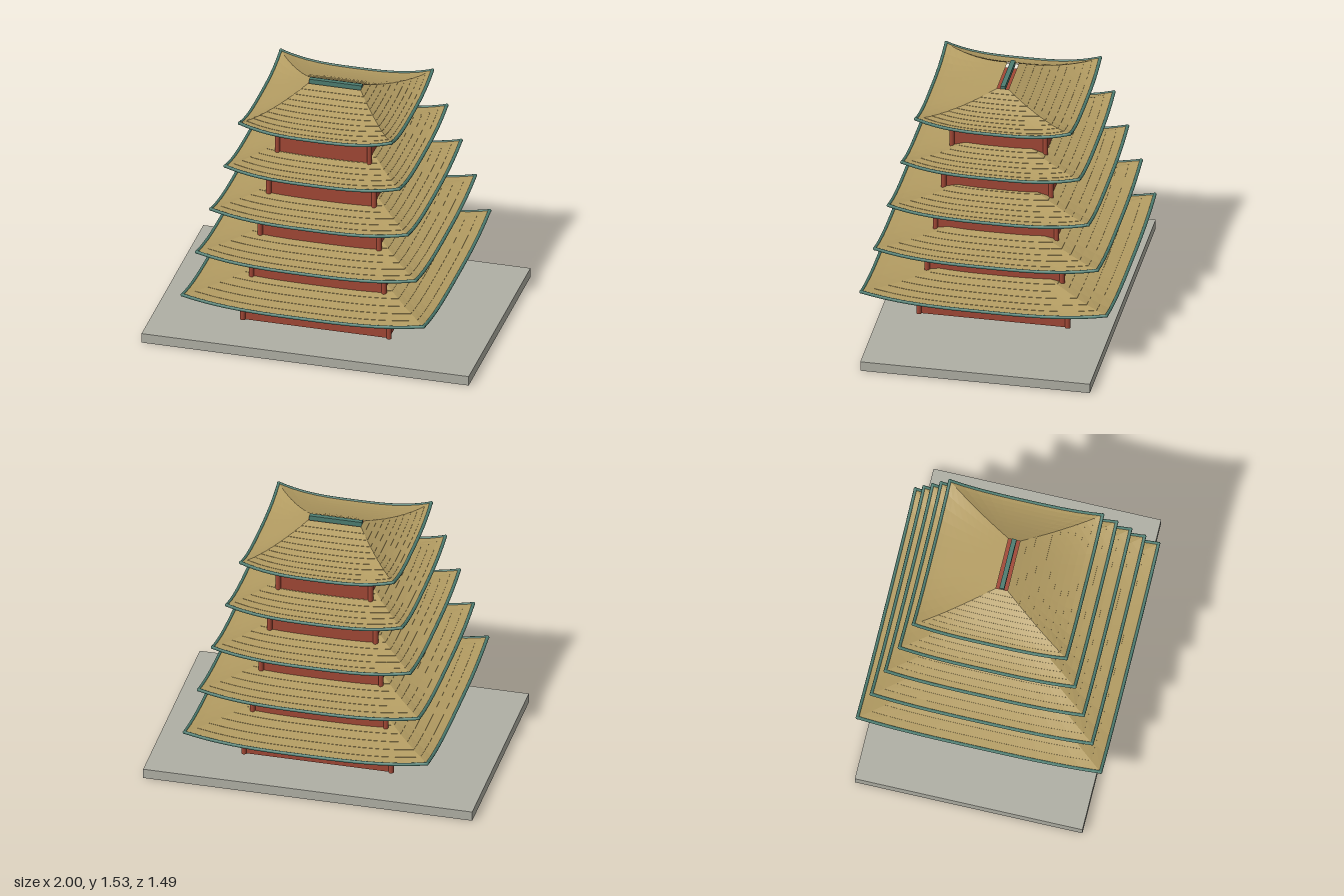
import * as THREE from 'three';

const mat = (name, color, extra = {}) => Object.assign(new THREE.MeshStandardMaterial({ color, ...extra }), { name });

const TIERS = 5, STEP = 0.2625;      // storeys and their spacing
const RIDGE_X = 0.16, RIDGE_Z = 0.035; // half size of the opening under the ridge
const RISE = 0.14, LIFT = 0.055;     // roof height and upturn of the corners
const ROWS = 10, COLS = 12;

// Point on one of the four roof slopes: u runs along the eave (-1..1), t from eave to ridge (0..1)
function roofPoint(side, eave, u, t, dy = 0) {
  const [inAlong, inOut] = side % 2 ? [RIDGE_Z, RIDGE_X] : [RIDGE_X, RIDGE_Z];
  const along = u * THREE.MathUtils.lerp(eave, inAlong, t);
  const out = THREE.MathUtils.lerp(eave, inOut, t);
  const y = RISE * Math.pow(t, 1.4) + LIFT * Math.pow(Math.abs(u), 3) * (1 - t) ** 2 + dy;
  const c = Math.cos(side * Math.PI / 2), s = Math.sin(side * Math.PI / 2);
  return new THREE.Vector3(along * c + out * s, y, -along * s + out * c);
}

function quadGeometry(quads) {
  const pos = [];
  for (const [a, b, c, d] of quads) for (const p of [a, b, c, a, c, d]) pos.push(p.x, p.y, p.z);
  const g = new THREE.BufferGeometry();
  g.setAttribute('position', new THREE.Float32BufferAttribute(pos, 3));
  g.computeVertexNormals();
  return g;
}

// Flat tiles in slightly stepped courses
function tileGeometry(eave) {
  const quads = [], step = 0.002;
  for (let side = 0; side < 4; side++)
    for (let r = 0; r < ROWS; r++)
      for (let c = 0; c < COLS; c++) {
        const u0 = c / COLS * 2 - 1, u1 = (c + 1) / COLS * 2 - 1;
        const t0 = r / ROWS, t1 = (r + 1) / ROWS;
        const p = (u, t, dy) => roofPoint(side, eave, u, t, dy);
        quads.push([p(u0, t0, step), p(u1, t0, step), p(u1, t1, 0), p(u0, t1, 0)]);
        quads.push([p(u0, t0, 0), p(u1, t0, 0), p(u1, t0, step), p(u0, t0, step)]);
      }
  return quadGeometry(quads);
}

// Smooth underside of one slope
function soffitGeometry(side, eave) {
  const pos = [], index = [], n = COLS * 2 + 1;
  for (let r = 0; r <= ROWS; r++)
    for (let c = 0; c < n; c++)
      pos.push(...roofPoint(side, eave, c / COLS - 1, r / ROWS, -0.006).toArray());
  for (let r = 0; r < ROWS; r++)
    for (let c = 0; c < n - 1; c++) {
      const a = r * n + c, b = a + 1, d = a + n, e = d + 1;
      index.push(a, e, b, a, d, e);
    }
  const g = new THREE.BufferGeometry();
  g.setAttribute('position', new THREE.Float32BufferAttribute(pos, 3));
  g.setIndex(index);
  g.computeVertexNormals();
  return g;
}

export function createModel() {
  const stone = mat('stone grey', 0xafafa4);
  const red = mat('wall red', 0xa04735);
  const tan = mat('tile tan', 0xb39c62);
  const teal = mat('trim green', 0x4c7c70);

  const model = new THREE.Group();
  model.name = 'pagoda';
  const add = (parent, name, geometry, material, x = 0, y = 0, z = 0) => {
    const m = new THREE.Mesh(geometry, material);
    m.name = name;
    m.position.set(x, y, z);
    parent.add(m);
    return m;
  };

  add(model, 'base', new THREE.BoxGeometry(2, 0.06, 1.38), stone, 0, 0.03, 0);

  for (let i = 0; i < TIERS; i++) {
    const storey = new THREE.Group();
    storey.name = 'storey' + (i + 1);
    storey.position.y = i * STEP;
    model.add(storey);

    // Walls with round corner posts
    const half = 0.447 - i * 0.0415, height = 0.25, mid = 0.11 + height / 2;
    add(storey, 'walls', new THREE.BoxGeometry(half * 2, height, half * 2), red, 0, mid, 0);
    for (const x of [-1, 1])
      for (const z of [-1, 1])
        add(storey, 'cornerPost', new THREE.CylinderGeometry(0.016, 0.016, height, 12), red, x * half, mid, z * half);

    // Curved roof
    const eave = 0.737 - i * 0.0685;
    const roof = new THREE.Group();
    roof.name = 'roof';
    roof.position.y = 0.328;
    storey.add(roof);
    add(roof, 'tiles', tileGeometry(eave), tan);
    for (let side = 0; side < 4; side++) {
      add(roof, 'soffit', soffitGeometry(side, eave), tan);
      const pts = [];
      for (let k = 0; k <= 24; k++) pts.push(roofPoint(side, eave, k / 12 - 1, 0));
      add(roof, 'eaveTrim', new THREE.TubeGeometry(new THREE.CatmullRomCurve3(pts), 40, 0.01, 8), teal);
      add(roof, 'trimCorner', new THREE.SphereGeometry(0.011, 10, 8), teal, ...pts[0].toArray());
    }
  }

  add(model, 'ridge', new THREE.BoxGeometry(0.32, 0.03, 0.028), teal, 0, 1.52, 0);
  return model;
}
